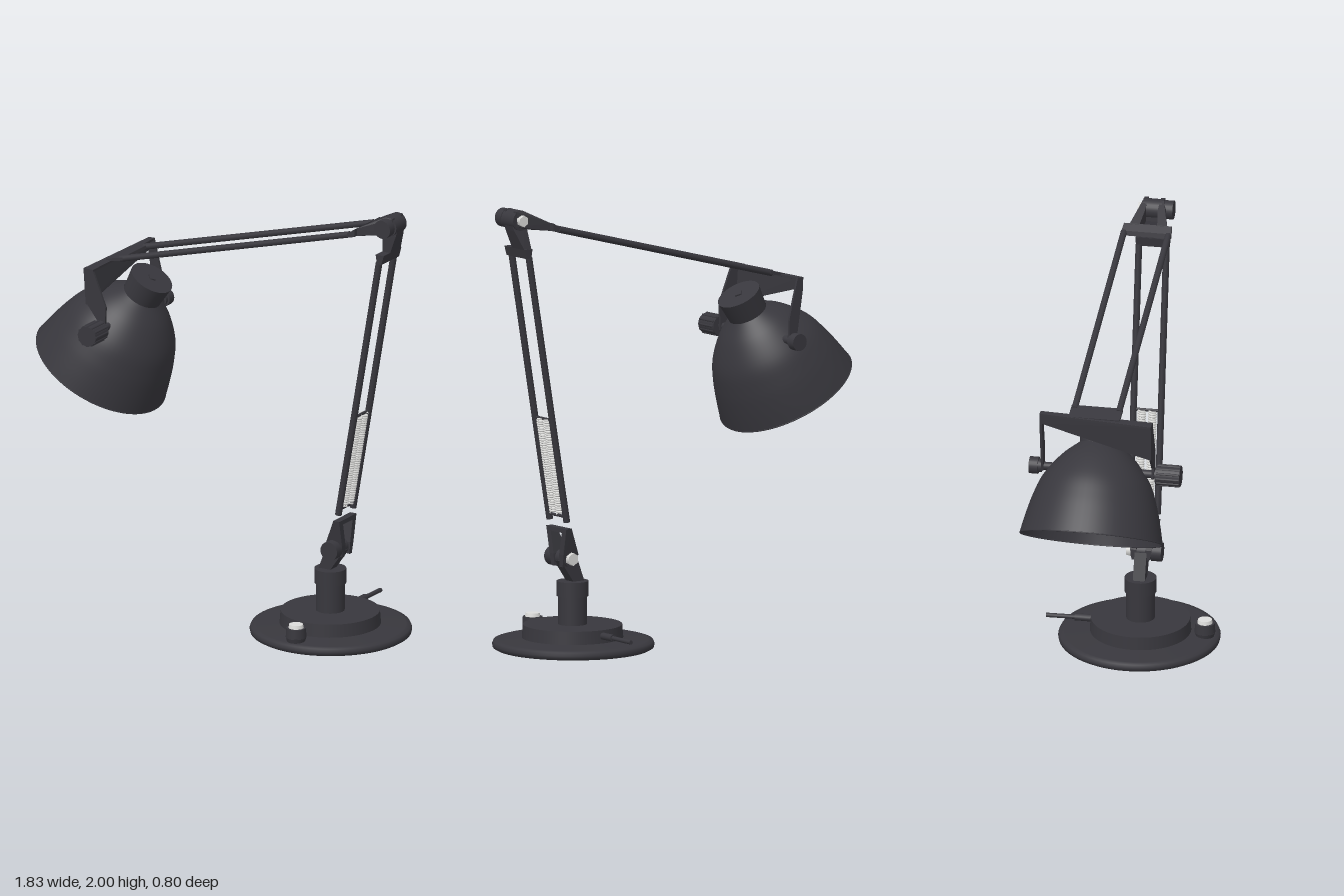
import * as THREE from 'three';
import { ConvexGeometry } from 'three/addons/geometries/ConvexGeometry.js';

const V = (x, y, z) => new THREE.Vector3(x, y, z);
const MID = 0.025; // z of the lamp's plane of symmetry

class Helix extends THREE.Curve {
  constructor(a, b, radius, turns) {
    super();
    this.a = a; this.b = b; this.radius = radius; this.turns = turns;
    this.arcLengthDivisions = turns * 20;
    this.u = b.clone().sub(a).normalize().cross(V(0, 0, 1)).normalize();
  }
  getPoint(t, target = new THREE.Vector3()) {
    const w = t * this.turns * Math.PI * 2;
    return target.lerpVectors(this.a, this.b, t)
      .addScaledVector(this.u, Math.cos(w) * this.radius)
      .add(V(0, 0, Math.sin(w) * this.radius));
  }
}

export function createModel() {
  const lamp = new THREE.Group();
  lamp.name = 'deskLamp';
  const paint = new THREE.MeshStandardMaterial({ color: 0x38373d });
  paint.name = 'charcoalPaint';
  const shell = new THREE.MeshStandardMaterial({ color: 0x38373d, side: THREE.DoubleSide });
  shell.name = 'charcoalShell';
  const steel = new THREE.MeshStandardMaterial({ color: 0xdcdcda });
  steel.name = 'brightSteel';

  const add = (name, geometry, material = paint, parent = lamp) => {
    const mesh = new THREE.Mesh(geometry, material);
    mesh.name = name;
    parent.add(mesh);
    return mesh;
  };
  // Upright cylinder from y0 to y1
  const post = (name, x, z, r0, r1, y0, y1, mat = paint, n = 32) =>
    add(name, new THREE.CylinderGeometry(r1, r0, y1 - y0, n), mat).position.set(x, (y0 + y1) / 2, z);
  // Cylinder along z from z0 to z1
  const pin = (name, x, y, r, z0, z1, mat = paint, n = 24) => {
    const g = new THREE.CylinderGeometry(r, r, z1 - z0, n).rotateX(Math.PI / 2);
    add(name, g, mat).position.set(x, y, (z0 + z1) / 2);
  };
  // Rod between two points
  const rod = (name, a, b, r, n = 12) => {
    const m = add(name, new THREE.CylinderGeometry(r, r, a.distanceTo(b), n));
    m.position.lerpVectors(a, b, 0.5);
    m.quaternion.setFromUnitVectors(V(0, 1, 0), b.clone().sub(a).normalize());
  };
  // Flat-faced convex block; each section is [x0, y0, x1, y1, zBack, zFront]
  const block = (name, ...sections) => add(name, new ConvexGeometry(sections.flatMap(
    ([x0, y0, x1, y1, zb, zf]) => [V(x0, y0, zb), V(x1, y1, zb), V(x0, y0, zf), V(x1, y1, zf)])));
  // Plate cut in the xy plane
  const plate = (name, points, z, depth) => {
    const shape = new THREE.Shape(points.map(p => new THREE.Vector2(...p)));
    add(name, new THREE.ExtrudeGeometry(shape, { depth, bevelEnabled: false })).position.z = z;
  };
  const lathe = (points, n = 64) =>
    new THREE.LatheGeometry(points.map(p => new THREE.Vector2(...p)), n);

  // Base: thin dish, hollow underneath, with a raised hub
  const BX = 0.545;
  add('baseDish', lathe([[0, 0.047], [0.12, 0.042], [0.23, 0.029], [0.31, 0.012], [0.345, 0.001], [0.345, 0.001],
    [0.357, 0.008], [0.36, 0.022], [0.354, 0.036], [0.335, 0.041], [0.335, 0.041], [0, 0.066]]), shell)
    .position.set(BX, 0, MID - 0.005);
  post('baseHub', BX, MID, 0.225, 0.22, 0.048, 0.108, paint, 48);
  post('column', BX, MID, 0.064, 0.064, 0.1, 0.24);
  post('collar', BX, MID, 0.071, 0.071, 0.235, 0.302);

  // Switch and cable
  post('switchHousing', BX, 0.315, 0.04, 0.046, 0.04, 0.062);
  post('switchRing', BX, 0.315, 0.046, 0.044, 0.06, 0.104);
  post('switchButton', BX, 0.315, 0.035, 0.031, 0.1, 0.12, steel, 20);
  rod('cableSleeve', V(BX, 0.082, -0.18), V(BX, 0.082, -0.27), 0.016);
  rod('cable', V(BX, 0.082, -0.26), V(BX, 0.08, -0.4), 0.01);

  // Lower joint: lug and flared fork
  block('lowerLug', [0.5, 0.3, 0.56, 0.3, -0.002, 0.052], [0.545, 0.42, 0.63, 0.4, -0.002, 0.052]);
  for (const s of [-1, 1]) {
    const z = (a, b) => [MID + s * a, MID + s * b];
    block('lowerForkLeg', [0.545, 0.385, 0.632, 0.375, ...z(0.02, 0.04)],
      [0.55, 0.43, 0.636, 0.43, ...z(0.02, 0.048)], [0.605, 0.548, 0.636, 0.548, ...z(0.044, 0.073)]);
  }
  block('lowerForkBridge', [0.598, 0.53, 0.636, 0.53, MID - 0.069, MID + 0.069],
    [0.604, 0.55, 0.636, 0.55, MID - 0.073, MID + 0.073]);
  pin('lowerKnob', 0.592, 0.41, 0.043, 0.068, 0.115);
  pin('lowerBoss', 0.592, 0.41, 0.036, -0.022, 0.07);
  pin('lowerNut', 0.592, 0.41, 0.029, -0.044, -0.02, steel, 6);

  // Lower arm: twin rods with two coil springs between them
  const armAt = (y, z) => V(0.625 + (y - 0.58) * 0.175, y, z);
  for (const s of [-1, 1]) {
    rod('lowerArmRod', armAt(0.58, MID + s * 0.062), armAt(1.79, MID + s * 0.062), 0.015);
    const coil = new Helix(armAt(0.615, MID + s * 0.024), armAt(1.045, MID + s * 0.024), 0.0155, 40);
    add('spring', new THREE.TubeGeometry(coil, 560, 0.0046, 6), steel);
  }
  for (const y of [0.605, 1.045])
    rod('springBar', armAt(y, MID - 0.062), armAt(y, MID + 0.062), 0.007, 8);

  // Elbow: bracket above the lower arm
  block('elbowFoot', [0.833, 1.785, 0.856, 1.785, -0.05, 0.1], [0.826, 1.828, 0.868, 1.828, -0.05, 0.1]);
  block('elbowNeck', [0.828, 1.825, 0.867, 1.825, -0.045, 0.045], [0.83, 1.91, 0.9, 1.91, -0.015, 0.05],
    [0.835, 1.96, 0.912, 1.95, -0.005, 0.05]);
  pin('elbowBoss', 0.868, 1.955, 0.045, -0.022, 0.066);
  pin('elbowStem', 0.868, 1.955, 0.025, 0.06, 0.08);
  pin('elbowKnob', 0.868, 1.955, 0.042, 0.074, 0.115);
  pin('elbowNut', 0.868, 1.955, 0.026, -0.044, -0.02, steel, 6);

  // Elbow: fork that carries the upper arm
  block('upperForkBridge', [0.695, 1.895, 0.7, 1.916, MID - 0.115, MID + 0.11],
    [0.735, 1.903, 0.735, 1.938, MID - 0.11, MID + 0.105]);
  for (const s of [-1, 1]) {
    const z = (a, b) => [MID + s * a, MID + s * b];
    block('upperForkLeg', [0.725, 1.9, 0.73, 1.935, ...z(0.04, 0.085)],
      [0.81, 1.912, 0.81, 1.975, ...z(0.028, 0.052)], [0.9, 1.93, 0.895, 1.998, ...z(0.028, 0.046)],
      [0.83, 1.912, 0.86, 2.0, ...z(0.028, 0.046)]);
  }

  // Upper arm: twin rods and flat end bracket
  for (const z of [-0.08, 0.12])
    rod('upperArmRod', V(0.705, 1.908, z), V(-0.485, 1.592, z), 0.0145);
  block('armEndPlate', [-0.465, 1.59, -0.468, 1.604, -0.095, 0.135], [-0.55, 1.572, -0.552, 1.584, -0.095, 0.135]);

  // Shade yoke: wedge-shaped back plate and two side cheeks
  block('yokePlate', [-0.58, 1.575, -0.568, 1.575, 0.27, 0.281], [-0.568, 1.41, -0.556, 1.41, 0.27, 0.281],
    [-0.55, 1.585, -0.538, 1.585, -0.226, -0.215], [-0.548, 1.54, -0.536, 1.54, -0.226, -0.215]);
  block('yokeTopFlange', [-0.58, 1.566, -0.58, 1.576, 0.27, 0.281], [-0.53, 1.566, -0.53, 1.576, 0.27, 0.281],
    [-0.55, 1.576, -0.55, 1.586, -0.226, -0.215], [-0.52, 1.576, -0.52, 1.586, -0.226, -0.215]);
  plate('yokeCheekLeft', [[-0.58, 1.575], [-0.568, 1.42], [-0.505, 1.34], [-0.51, 1.29], [-0.47, 1.29],
    [-0.465, 1.41], [-0.533, 1.575]], 0.27, 0.011);
  plate('yokeCheekRight', [[-0.55, 1.585], [-0.548, 1.53], [-0.51, 1.29], [-0.47, 1.29],
    [-0.475, 1.41], [-0.52, 1.585]], -0.226, 0.011);
  const KX = -0.49, KY = 1.305;
  pin('pivotPin', KX, KY, 0.018, -0.235, 0.3);
  pin('pivotKnobLeft', KX, KY, 0.046, 0.29, 0.4);
  for (let i = 0; i < 12; i++) { // grip ribs
    const a = i * Math.PI / 6;
    pin('gripRib', KX + Math.cos(a) * 0.044, KY + Math.sin(a) * 0.044, 0.006, 0.295, 0.398, paint, 6);
  }
  pin('pivotWasherRight', KX, KY, 0.03, -0.245, -0.225);
  pin('pivotKnobRight', KX, KY, 0.038, -0.28, -0.24);

  // Shade: open bell tilted about z, closed by a flared neck
  const shade = new THREE.Group();
  shade.name = 'shade';
  shade.position.set(-0.645, 1.04, MID);
  shade.rotation.z = -Math.atan2(0.503, 0.865);
  lamp.add(shade);
  const bell = new THREE.SplineCurve([[0.319, 0], [0.3, 0.085], [0.276, 0.172], [0.238, 0.266],
    [0.165, 0.362], [0.09, 0.425]].map(p => new THREE.Vector2(...p)));
  add('shadeBell', new THREE.LatheGeometry(bell.getPoints(24), 64), shell, shade);
  add('shadeRim', new THREE.TorusGeometry(0.317, 0.003, 6, 64).rotateX(Math.PI / 2), paint, shade);
  add('shadeNeck', new THREE.CylinderGeometry(0.1, 0.088, 0.11, 40), paint, shade).position.y = 0.469;
  add('neckScrew', new THREE.CylinderGeometry(0.02, 0.02, 0.008, 4), paint, shade).position.y = 0.526;

  return lamp;
}
